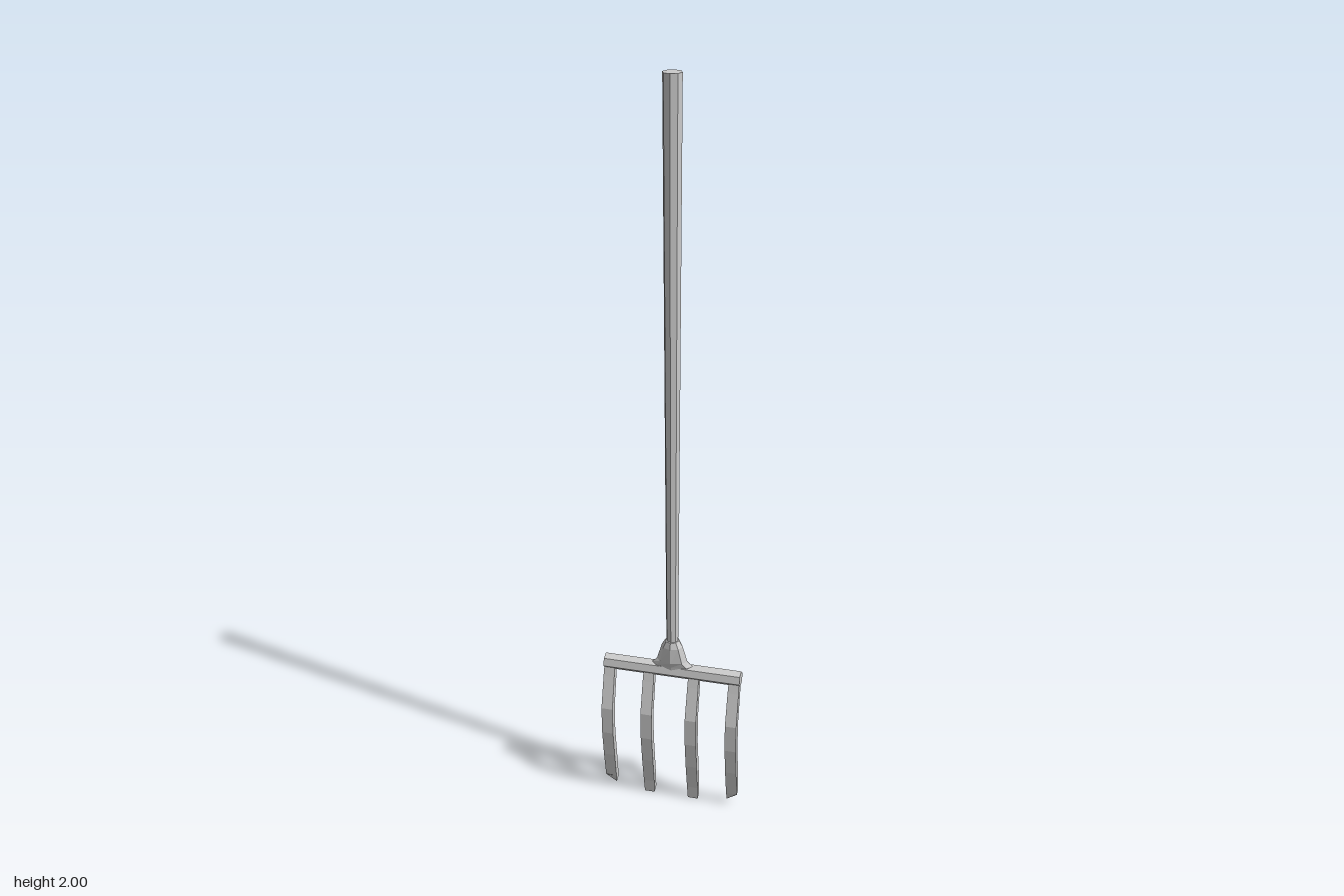
import * as THREE from 'three';

const steel = new THREE.MeshStandardMaterial({ color: 0xcccccc, flatShading: true });

// Closed skin through rings of equal length, listed from top to bottom;
// each ring runs anticlockwise seen from above.
function loft(rings) {
  const n = rings[0].length;
  const index = [];
  for (let r = 0; r < rings.length - 1; r++) {
    for (let i = 0; i < n; i++) {
      const a = r * n + i, b = r * n + (i + 1) % n;
      index.push(a, a + n, b, b, a + n, b + n);
    }
  }
  const last = (rings.length - 1) * n;
  for (let i = 1; i < n - 1; i++) {
    index.push(0, i, i + 1, last, last + i + 1, last + i);
  }
  const geometry = new THREE.BufferGeometry();
  geometry.setAttribute('position', new THREE.Float32BufferAttribute(rings.flat(2), 3));
  geometry.setIndex(index);
  const flat = geometry.toNonIndexed();
  flat.computeVertexNormals();
  return flat;
}

// Eight-sided oval ring at height y
function oval(y, z, rx, rz) {
  return Array.from({ length: 8 }, (_, i) => {
    const a = (i / 8) * Math.PI * 2;
    return [Math.sin(a) * rx, y, z + Math.cos(a) * rz];
  });
}

// Curved rectangular tine; slant raises the outer edge of the tip
function tineGeometry(x, slant) {
  const path = [ // y, z, half width, half depth
    [0.41, -0.012, 0.014, 0.010],
    [0.37, -0.003, 0.015, 0.011],
    [0.28, 0.021, 0.0155, 0.012],
    [0.20, 0.020, 0.0155, 0.011],
    [0.12, 0.008, 0.0155, 0.011],
    [0.04, -0.006, 0.015, 0.010],
    [0.004, -0.011, 0.014, 0.009],
  ];
  const side = Math.sign(x);
  return loft(path.map(([y, z, w, d], i) => {
    const tip = i === path.length - 1;
    return [[-w, d], [w, d], [w, -d], [-w, -d]].map(([dx, dz]) => {
      let py = y;
      if (tip) {
        py += dz > 0 ? -0.004 : 0.004;
        if (slant) py += dx * side > 0 ? 0.034 : 0.016;
      }
      return [x + dx, py, z + dz];
    });
  }));
}

export function createModel() {
  const group = new THREE.Group();
  const add = (name, geometry) => {
    const mesh = new THREE.Mesh(geometry, steel);
    mesh.name = name;
    group.add(mesh);
    return mesh;
  };

  // Long handle, slimmer toward the socket
  const handle = add('handle', new THREE.CylinderGeometry(0.024, 0.016, 1.55, 8));
  handle.position.set(0, 1.225, -0.01);

  // Socket flaring from the handle into the crossbar
  add('socket', loft([
    oval(0.503, -0.009, 0.019, 0.020),
    oval(0.485, -0.009, 0.029, 0.024),
    oval(0.440, -0.010, 0.042, 0.022),
    oval(0.424, -0.012, 0.058, 0.018),
    oval(0.395, -0.013, 0.050, 0.014),
  ]));

  // Six-sided crossbar
  const bar = add('crossbar', new THREE.CylinderGeometry(
    0.0215, 0.0215, 0.376, 6, 1, false, THREE.MathUtils.degToRad(43)));
  bar.rotation.z = Math.PI / 2;
  bar.position.set(0, 0.407, -0.013);

  // Four tines, the outer pair with slanted tips
  const tines = [['outerTineRight', -0.173], ['innerTineRight', -0.063],
    ['innerTineLeft', 0.061], ['outerTineLeft', 0.172]];
  for (const [name, x] of tines) add(name, tineGeometry(x, Math.abs(x) > 0.1));

  return group;
}
